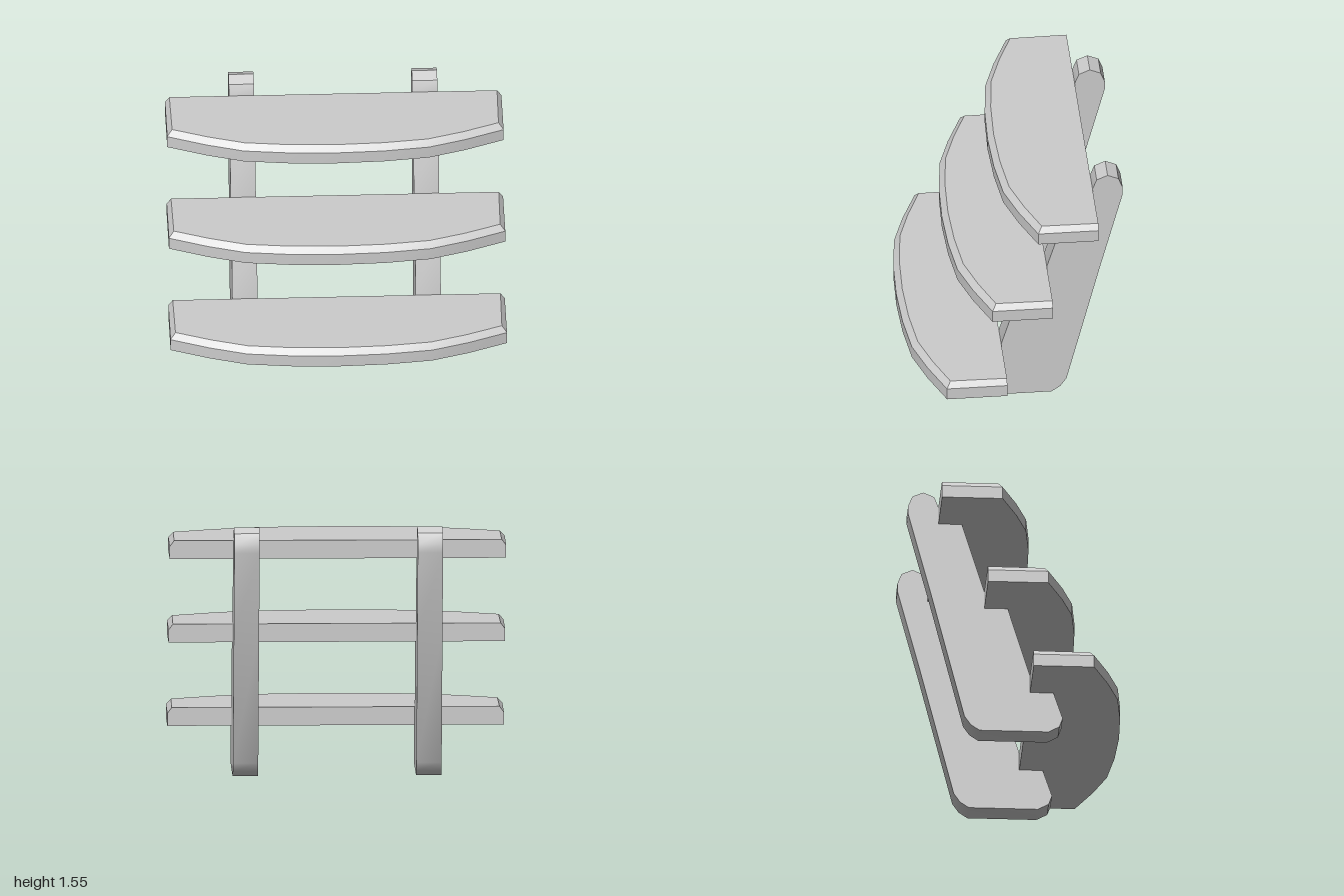
import * as THREE from 'three';
import { toCreasedNormals } from 'three/addons/utils/BufferGeometryUtils.js';

const CREASE = 0.6;
const LEG_WIDTH = 0.15;
const SHELF_HEIGHT = 0.11;
const BEVEL = 0.035;

// Each shelf: underside height and back edge depth
const SHELVES = [
  { name: 'bottomShelf', y: 0.255, z: 0.08 },
  { name: 'middleShelf', y: 0.8, z: -0.192 },
  { name: 'topShelf', y: 1.345, z: -0.465 },
];

// Right half of the bowed front edge, [x, depth from the back]
const BOW = [[0, 0.566], [0.28, 0.556], [0.55, 0.526], [0.77, 0.455], [1, 0.36]];
const BOW_INSET = [[0, 0.53], [0.28, 0.52], [0.545, 0.491], [0.76, 0.422], [0.97, 0.337]];

// Closed outline: back left, along the bowed front, back right
function outline(half, backX) {
  const left = half.slice(1).reverse().map(([x, z]) => [-x, z]);
  return [[-backX, 0], ...left, ...half, [backX, 0]];
}

// Solid board with a bevel along the top of its front and ends
function shelfGeometry() {
  const rings = [
    { pts: outline(BOW, 1), y: 0 },
    { pts: outline(BOW, 1), y: SHELF_HEIGHT - BEVEL },
    { pts: outline(BOW_INSET, 0.974), y: SHELF_HEIGHT },
  ];
  const n = rings[0].pts.length;
  const positions = rings.flatMap(({ pts, y }) => pts.flatMap(([x, z]) => [x, y, z]));
  const index = [];
  for (let r = 0; r < 2; r++) {
    for (let i = 0; i < n; i++) {
      const a = r * n + i, b = r * n + ((i + 1) % n);
      index.push(a, b, b + n, a, b + n, a + n);
    }
  }
  for (let i = 1; i < n - 1; i++) {
    index.push(0, i + 1, i);
    index.push(2 * n, 2 * n + i, 2 * n + i + 1);
  }
  const geo = new THREE.BufferGeometry();
  geo.setAttribute('position', new THREE.Float32BufferAttribute(positions, 3));
  geo.setIndex(index);
  return toCreasedNormals(geo, CREASE);
}

// Leaning support with a notch for every shelf, profile in [z, y]
function legGeometry() {
  const profile = [[-0.22, 0], [0.19, 0], [0.255, 0.035], [0.275, 0.09]];
  for (const { y, z } of SHELVES) {
    profile.push([z + 0.14, y], [z, y], [z, y + SHELF_HEIGHT]);
  }
  profile.push(
    [-0.49, 1.52], [-0.555, 1.548], [-0.62, 1.52], [-0.645, 1.457],
    [-0.645, 1.405], [-0.513, 0.9], [-0.31, 0.09], [-0.272, 0.035],
  );
  const shape = new THREE.Shape(profile.map(([z, y]) => new THREE.Vector2(z, y)));
  const geo = new THREE.ExtrudeGeometry(shape, { depth: LEG_WIDTH, bevelEnabled: false });
  geo.translate(0, 0, -LEG_WIDTH / 2);
  geo.rotateY(-Math.PI / 2);
  return toCreasedNormals(geo, CREASE);
}

export function createModel() {
  const group = new THREE.Group();
  group.name = 'tieredShelfStand';
  const material = new THREE.MeshStandardMaterial({ color: 0xcccccc });

  // Two matching supports
  const leg = legGeometry();
  for (const [name, x] of [['leftLeg', 0.545], ['rightLeg', -0.545]]) {
    const mesh = new THREE.Mesh(leg, material);
    mesh.name = name;
    mesh.position.x = x;
    group.add(mesh);
  }

  // Three stepped shelves
  const shelf = shelfGeometry();
  for (const { name, y, z } of SHELVES) {
    const mesh = new THREE.Mesh(shelf, material);
    mesh.name = name;
    mesh.position.set(0, y, z);
    group.add(mesh);
  }
  return group;
}
